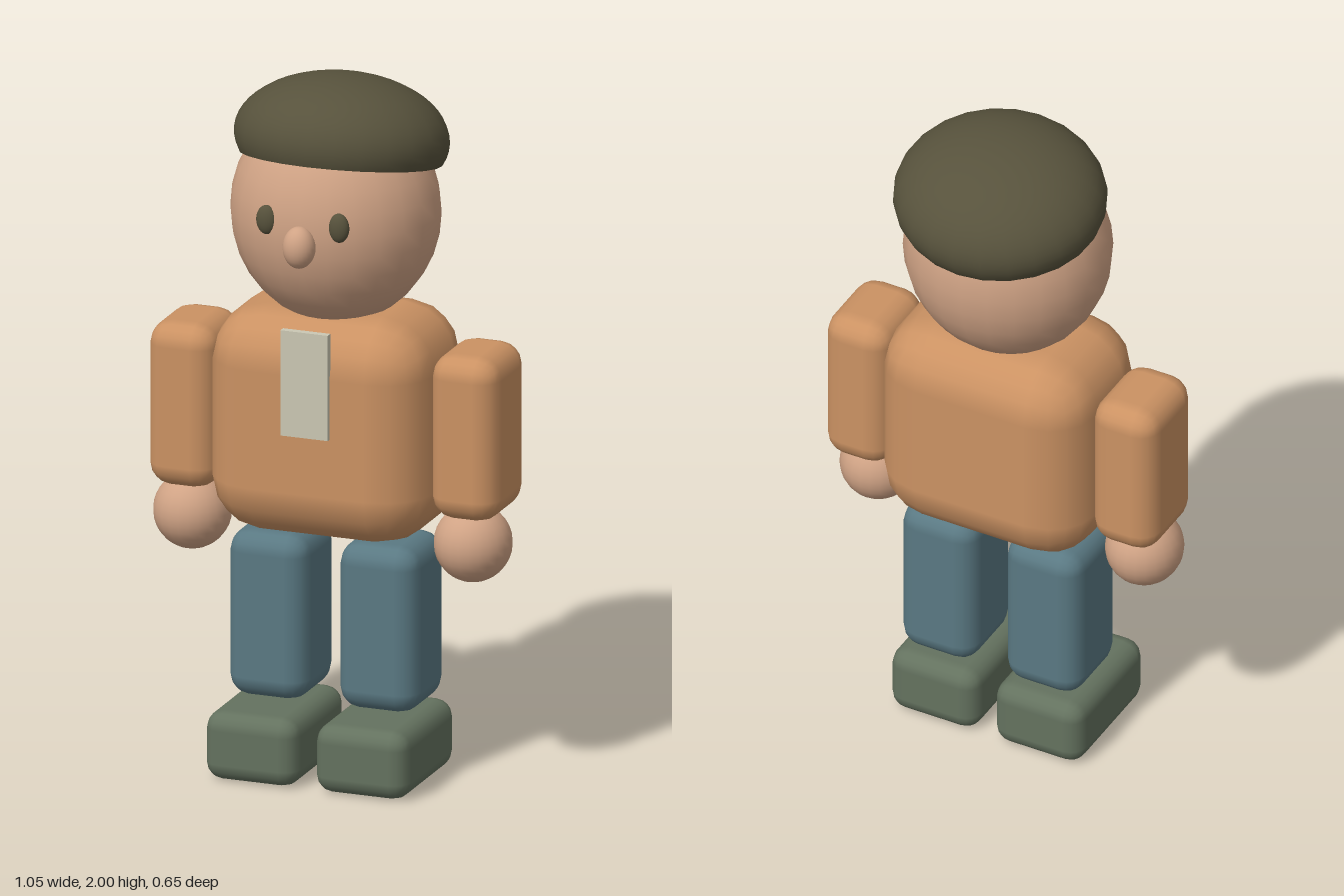
import * as THREE from 'three';
import { RoundedBoxGeometry } from 'three/addons/geometries/RoundedBoxGeometry.js';

export function createModel() {
  const mat = (name, color) => {
    const m = new THREE.MeshStandardMaterial({ color });
    m.name = name;
    return m;
  };
  const skin = mat('skin', 0xd0a385);
  const orange = mat('orange cloth', 0xcb9263);
  const denim = mat('blue cloth', 0x5a7983);
  const leather = mat('green leather', 0x64725f);
  const dark = mat('dark olive', 0x57523c);
  const cream = mat('cream cloth', 0xcbc8b4);
  dark.side = THREE.DoubleSide; // the cap is open below

  const model = new THREE.Group();
  model.name = 'figure';

  const add = (name, geometry, material, x, y, z) => {
    const mesh = new THREE.Mesh(geometry, material);
    mesh.name = name;
    mesh.position.set(x, y, z);
    model.add(mesh);
    return mesh;
  };
  const block = (name, material, [w, h, d], radius, x, y, z) =>
    add(name, new RoundedBoxGeometry(w, h, d, 2, radius), material, x, y, z);
  const ball = (name, material, [rx, ry, rz], x, y, z, theta = Math.PI) =>
    add(name, new THREE.SphereGeometry(1, 24, 16, 0, Math.PI * 2, 0, theta).scale(rx, ry, rz), material, x, y, z);

  // Body and shirt front
  block('torso', orange, [0.65, 0.65, 0.46], 0.155, 0, 1.025, 0);
  add('shirtPanel', new THREE.BoxGeometry(0.14, 0.305, 0.02), cream, 0, 1.178, 0.232);

  // Head, nose and tilted cap
  ball('head', skin, [0.295, 0.32, 0.276], 0, 1.62, 0);
  ball('nose', skin, [0.046, 0.06, 0.045], 0, 1.59, 0.28);
  const cap = ball('cap', dark, [0.302, 0.18, 0.28], 0, 1.815, -0.045, 1.91);
  cap.rotation.x = -0.19;

  // Paired parts
  for (const [side, s] of [['left', 1], ['right', -1]]) {
    ball(side + 'Eye', dark, [0.03, 0.042, 0.02], s * 0.107, 1.65, 0.252);
    block(side + 'Arm', orange, [0.2, 0.475, 0.268], 0.065, s * 0.418, 1.028, 0);
    ball(side + 'Hand', skin, [0.109, 0.11, 0.113], s * 0.415, 0.707, 0.023);
    block(side + 'Leg', denim, [0.235, 0.48, 0.26], 0.06, s * 0.163, 0.45, 0);
    block(side + 'Shoe', leather, [0.275, 0.197, 0.4], 0.05, s * 0.163, 0.0985, 0.05);
  }
  return model;
}
